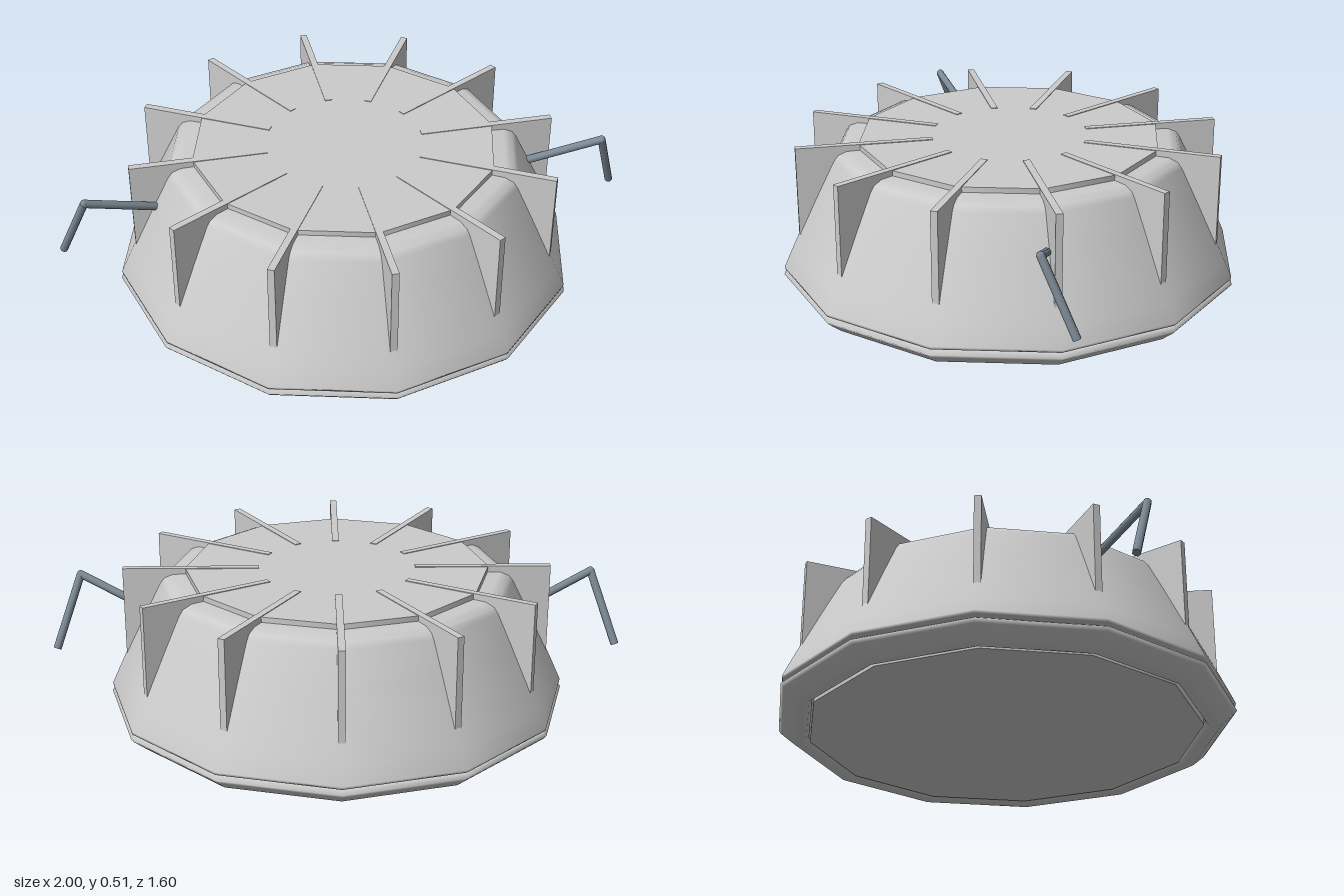
import * as THREE from 'three';

const SIDES = 12;
const grey = new THREE.MeshStandardMaterial({ color: 0xcccccc, side: THREE.DoubleSide });
const steel = new THREE.MeshStandardMaterial({ color: 0x7d8a96 });

// Twelve-sided turned part; profile runs bottom to top along the outside
function turned(name, profile, material = grey) {
  const points = profile.map(([r, y]) => new THREE.Vector2(r, y));
  const mesh = new THREE.Mesh(new THREE.LatheGeometry(points, SIDES), material);
  mesh.name = name;
  return mesh;
}

// Straight round rod between two points
function rod(a, b, radius) {
  const dir = b.clone().sub(a);
  const mesh = new THREE.Mesh(new THREE.CylinderGeometry(radius, radius, dir.length(), 8), steel);
  mesh.position.copy(a).add(b).multiplyScalar(0.5);
  mesh.quaternion.setFromUnitVectors(new THREE.Vector3(0, 1, 0), dir.normalize());
  return mesh;
}

export function createModel() {
  const model = new THREE.Group();
  model.name = 'recessedLamp';

  // Housing: flared wall with a rounded shoulder
  model.add(turned('housing', [
    [0.7, 0.07], [0.795, 0.07], [0.797, 0.08], [0.77, 0.14], [0.74, 0.205],
    [0.67, 0.35], [0.615, 0.46], [0.6, 0.48], [0.57, 0.493], [0.5, 0.495],
  ]));

  // Trim ring under the housing
  model.add(turned('trimRing', [
    [0.69, 0.02], [0.7, 0.004], [0.72, 0], [0.745, 0.002], [0.79, 0.04],
    [0.8, 0.052], [0.785, 0.062], [0.72, 0.07],
  ]));

  // Lens closing the underside
  const lens = new THREE.Mesh(new THREE.CylinderGeometry(0.685, 0.685, 0.03, SIDES), grey);
  lens.name = 'lens';
  lens.position.y = 0.02;
  model.add(lens);

  // Top plate
  const plate = new THREE.Mesh(new THREE.CylinderGeometry(0.525, 0.525, 0.025, SIDES), grey);
  plate.name = 'topPlate';
  plate.position.y = 0.5;
  model.add(plate);

  // Radial cooling fins, one at each corner of the housing
  const fins = new THREE.Group();
  fins.name = 'coolingFins';
  const finGeometry = new THREE.BoxGeometry(0.47, 0.315, 0.024).translate(0.505, 0.3575, 0);
  for (let i = 0; i < SIDES; i++) {
    const fin = new THREE.Mesh(finGeometry, grey);
    fin.name = 'coolingFin';
    fin.rotation.y = (i / SIDES) * Math.PI * 2;
    fins.add(fin);
  }
  model.add(fins);

  // Bent spring clips on both sides
  for (const side of [1, -1]) {
    const clip = new THREE.Group();
    clip.name = side > 0 ? 'leftSpringClip' : 'rightSpringClip';
    const [root, bend, tip] = [[0.6, 0.33, 0], [0.9, 0.457, 0.095], [0.985, 0.213, 0.002]]
      .map(([x, y, z]) => new THREE.Vector3(side * x, y, z));
    const elbow = new THREE.Mesh(new THREE.SphereGeometry(0.014, 8, 6), steel);
    elbow.position.copy(bend);
    clip.add(rod(root, bend, 0.014), rod(bend, tip, 0.014), elbow);
    model.add(clip);
  }
  return model;
}
